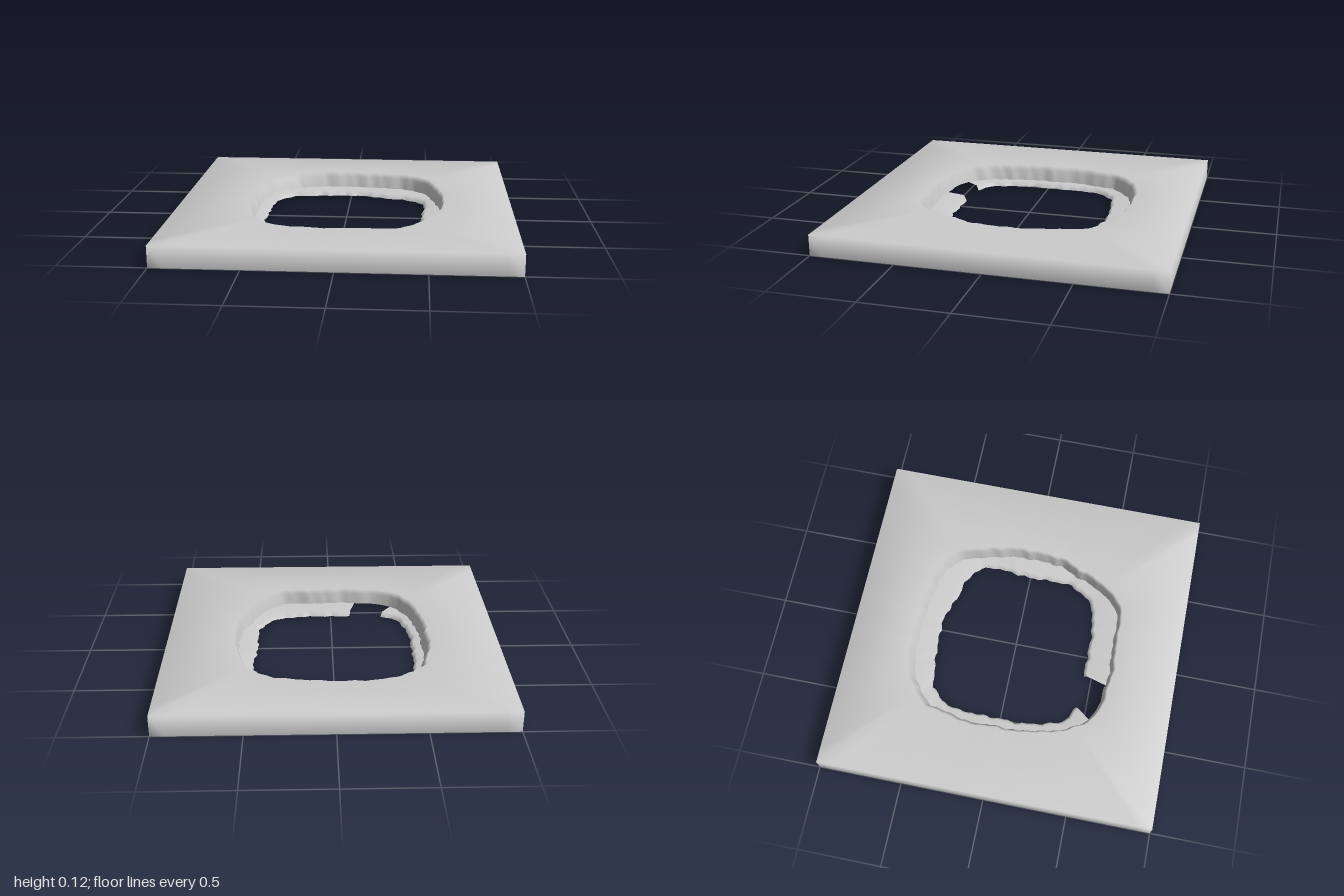
import * as THREE from 'three';

const TOP = 0.125, LEDGE = 0.03, STEP = 2.5;

// Radii every 10 degrees, starting at +x and turning towards +z
const rimRadii = [
  .60, .605, .615, .61, .64, .665, .69, .655, .62, .62, .635, .645,
  .685, .69, .665, .635, .605, .60, .585, .60, .63, .645, .70, .705,
  .695, .675, .65, .64, .64, .655, .685, .70, .685, .64, .62, .61];
const innerRadii = [
  .46, .47, .495, .53, .54, .545, .50, .48, .455, .45, .455, .48,
  .52, .56, .575, .54, .52, .505, .49, .50, .52, .56, .585, .58,
  .535, .505, .49, .485, .49, .485, .49, .53, .56, .555, .51, .475];

const rad = THREE.MathUtils.degToRad;

function radiusAt(table, deg) {
  const t = (((deg % 360) + 360) % 360) / 10;
  const i = Math.floor(t) % 36;
  return THREE.MathUtils.lerp(table[i], table[(i + 1) % 36], t - Math.floor(t));
}

// Small repeatable unevenness of the broken edges
const rough = (deg, amount) =>
  amount * (Math.sin(rad(deg) * 23) * 0.5 + Math.sin(rad(deg) * 41 + 1) * 0.5);

const square = deg => 1 / Math.max(Math.abs(Math.cos(rad(deg))), Math.abs(Math.sin(rad(deg))));
const rim = deg => radiusAt(rimRadii, deg) + rough(deg, 0.006);
const inner = deg => radiusAt(innerRadii, deg) + rough(deg + 7, 0.008);
const lip = deg => inner(deg) + 0.02;
// The wall leans in more at the back and on the left
const foot = deg => rim(deg) - 0.031 + 0.01 * Math.sin(rad(deg + 45)) + rough(deg * 2, 0.004);
const middle = deg => (rim(deg) + foot(deg)) / 2;
const flange = deg => radiusAt(rimRadii, deg) + 0.1;

// Sweeps an open profile of [radius function, height] around the centre
function sweep(profile, from, to) {
  const n = Math.round((to - from) / STEP), m = profile.length;
  const closed = to - from === 360;
  const rows = closed ? n : n + 1;
  const positions = [], index = [];
  for (let i = 0; i < rows; i++) {
    const deg = from + (to - from) * i / n;
    for (const [radius, y] of profile) {
      const r = radius(deg);
      positions.push(r * Math.cos(rad(deg)), y, r * Math.sin(rad(deg)));
    }
  }
  for (let i = 0; i < n; i++) {
    for (let j = 0; j < m - 1; j++) {
      const a = i * m + j, b = ((i + 1) % rows) * m + j;
      index.push(a, a + 1, b + 1, a, b + 1, b);
    }
  }
  const g = new THREE.BufferGeometry();
  g.setAttribute('position', new THREE.Float32BufferAttribute(positions, 3));
  g.setIndex(index);
  g.computeVertexNormals();
  return g;
}

export function createModel() {
  const group = new THREE.Group();
  const material = new THREE.MeshStandardMaterial({ color: 0xcccccc, side: THREE.DoubleSide });
  const add = (name, geometry) => {
    const mesh = new THREE.Mesh(geometry, material);
    mesh.name = name;
    group.add(mesh);
  };

  // Square shell, open underneath: outer sides, top and the wall of the opening
  add('slabShell', sweep([
    [square, 0],
    [square, TOP],
    [rim, TOP],
    [middle, 0.095],
    [foot, LEDGE],
  ], 0, 360));

  // Thin lower ledge with a bent-down lip, broken through at the front
  add('brokenLedge', sweep([
    [flange, LEDGE],
    [lip, LEDGE],
    [inner, 0],
  ], 127, 465.5));

  return group;
}
